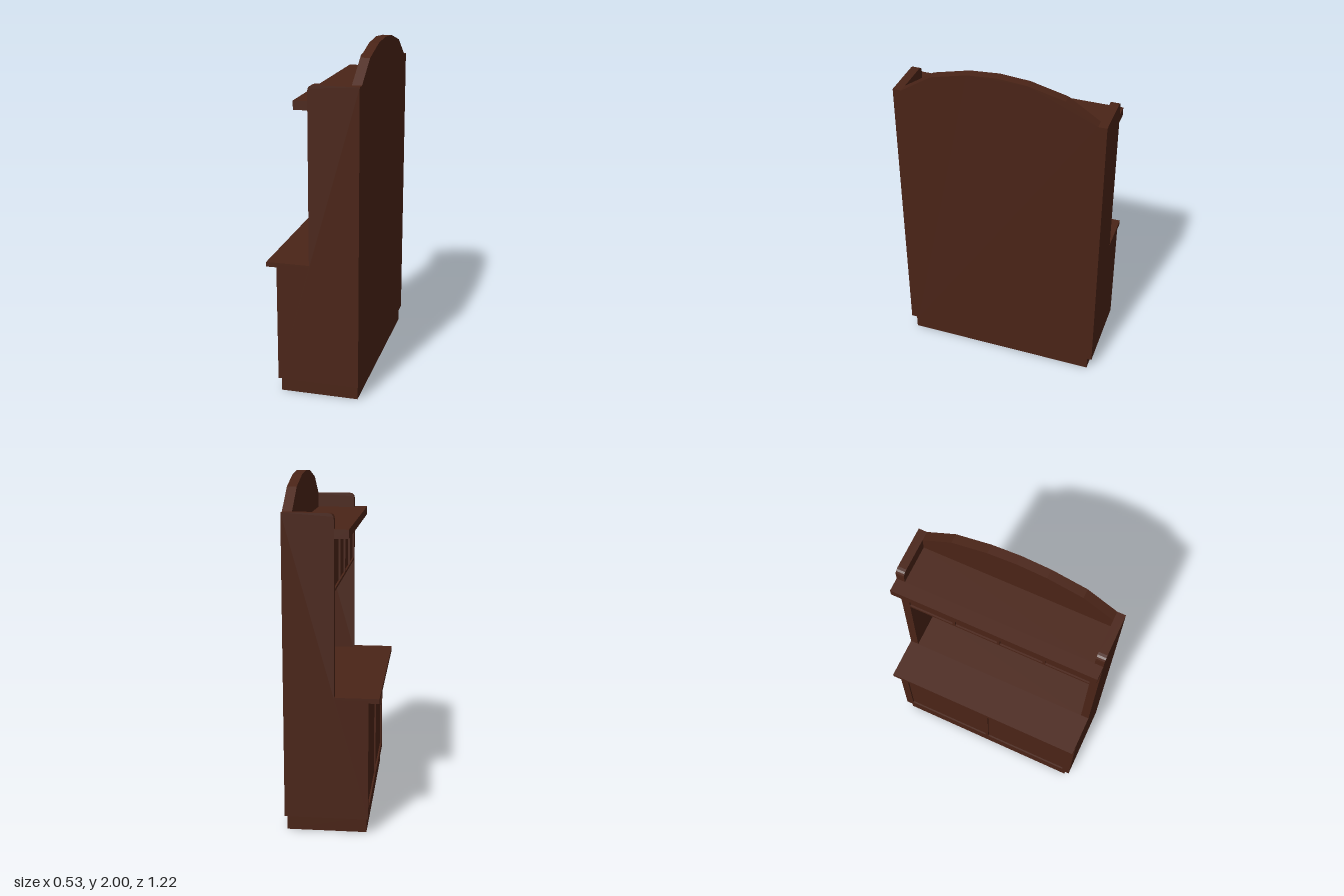
import * as THREE from 'three';

export function createModel() {
  const group = new THREE.Group();
  const wood = new THREE.MeshStandardMaterial({ color: 0x4a2417 });

  const add = (name, geometry) => {
    const mesh = new THREE.Mesh(geometry, wood);
    mesh.name = name;
    group.add(mesh);
    return mesh;
  };
  // Box given by its limits on each axis
  const box = (name, x0, x1, y0, y1, z0, z1) =>
    add(name, new THREE.BoxGeometry(x1 - x0, y1 - y0, z1 - z0))
      .position.set((x0 + x1) / 2, (y0 + y1) / 2, (z0 + z1) / 2);

  const BACK = 0.265, INNER = 0.21, HALF = 0.61, IN = 0.56;

  // Plinth
  box('plinth', -0.2, 0.255, 0, 0.09, -0.58, 0.58);

  // Stepped side panels with a rounded top corner
  const side = new THREE.Shape();
  side.moveTo(-0.21, 0.09);
  side.lineTo(BACK, 0.09);
  side.lineTo(BACK, 1.817);
  side.lineTo(0.015, 1.817);
  side.quadraticCurveTo(-0.02, 1.817, -0.02, 1.782);
  side.lineTo(-0.02, 0.79);
  side.lineTo(-0.21, 0.79);
  side.closePath();
  for (const [name, z] of [['leftSide', IN], ['rightSide', -HALF]]) {
    add(name, new THREE.ExtrudeGeometry(side, {
      depth: HALF - IN, bevelEnabled: false, curveSegments: 4,
    })).position.z = z;
  }

  // Back board with a faceted arch on top; shape drawn in z and y
  const back = new THREE.Shape([
    [-IN, 0.09], [IN, 0.09], [IN, 1.817], [0.38, 1.935], [0.17, 1.987],
    [0, 2], [-0.17, 1.987], [-0.38, 1.935], [-IN, 1.817],
  ].map(([z, y]) => new THREE.Vector2(z, y)));
  const backBoard = add('backBoard', new THREE.ExtrudeGeometry(back, {
    depth: BACK - INNER, bevelEnabled: false,
  }));
  backBoard.rotation.y = Math.PI / 2;
  backBoard.position.x = INNER;

  // Lower cupboard: floor, centre stile and two recessed doors
  box('cupboardFloor', -0.21, INNER, 0.09, 0.135, -IN, IN);
  box('centreStile', -0.21, INNER, 0.135, 0.775, -0.01, 0.01);
  for (const s of [-1, 1]) {
    const z = s * (0.01 + IN) / 2, w = (IN - 0.01) / 2;
    box('cupboardDoor', -0.2, -0.18, 0.135, 0.775, z - w, z + w);
  }

  // Worktop: the overhanging front, and the part between the sides
  box('worktop', -0.27, -0.02, 0.775, 0.802, -HALF, HALF);
  box('worktopBack', -0.02, INNER, 0.775, 0.802, -IN, IN);

  // Row of four small doors with thin dividers and a board below
  box('drawerBoard', -0.02, INNER, 1.388, 1.403, -IN, IN);
  const step = IN / 2;
  for (let i = 0; i < 4; i++) {
    const z = -IN + i * step;
    box('smallDoor', -0.01, 0.01, 1.403, 1.68, z, z + step);
    if (i) box('divider', -0.02, INNER, 1.403, 1.68, z - 0.008, z + 0.008);
  }

  // Top shelf with an overhanging front edge
  box('topShelfEdge', -0.1, -0.02, 1.68, 1.73, -HALF, HALF);
  box('topShelf', -0.02, INNER, 1.68, 1.73, -IN, IN);

  return group;
}
